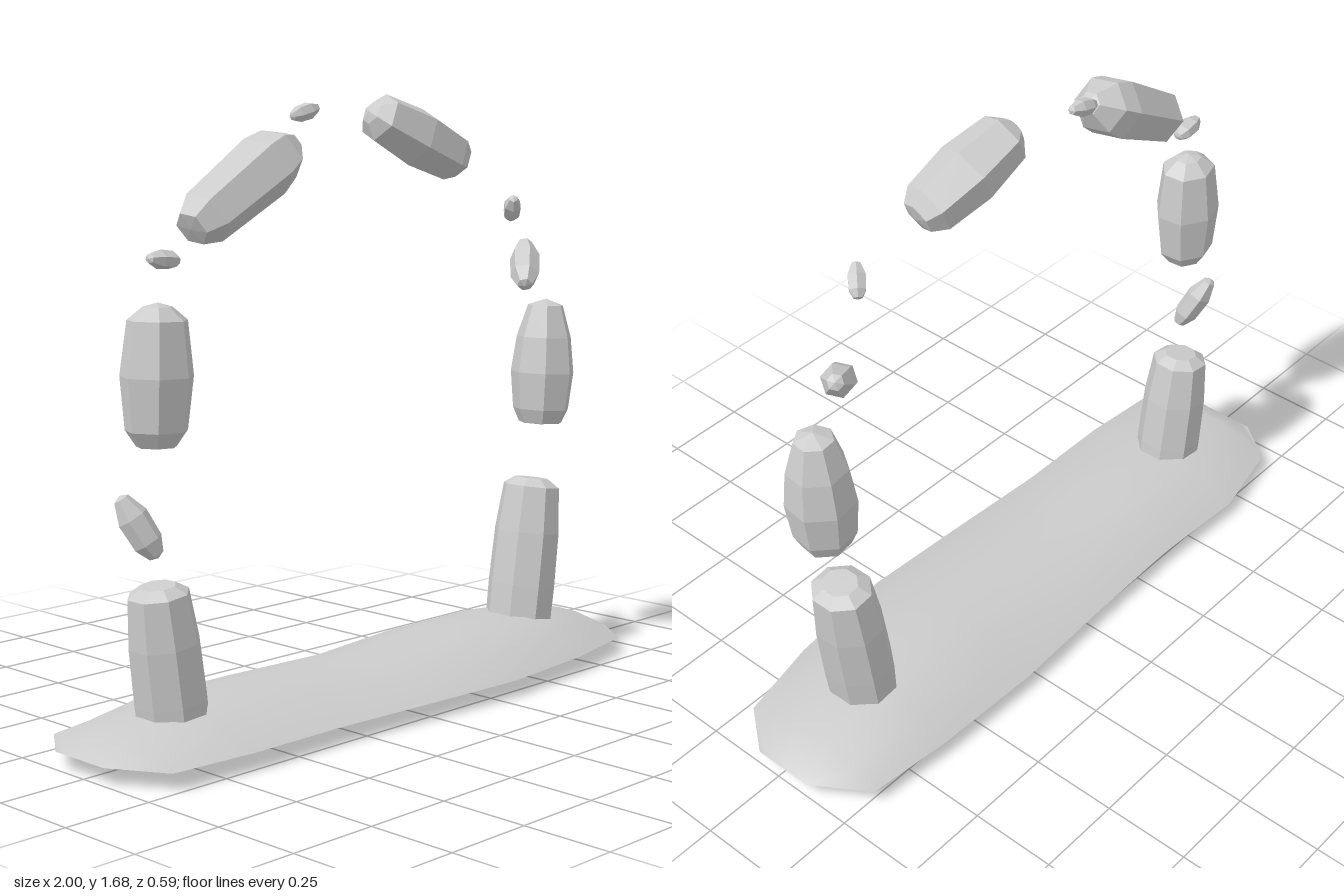
import * as THREE from 'three';

const stone = new THREE.MeshStandardMaterial({ color: 0xcccccc, flatShading: true, side: THREE.DoubleSide });
const earth = new THREE.MeshStandardMaterial({ color: 0xcccccc, side: THREE.DoubleSide });

// Profiles run from the start of a stone to its end: [position along axis, relative radius]
const PILLAR = [[0, 0.98], [0.3, 1], [0.65, 0.97], [0.95, 0.84], [1, 0.5], [1, 0]];
const BLOCK = [[0, 0], [0.02, 0.55], [0.13, 0.85], [0.5, 1], [0.88, 0.82], [0.97, 0.4], [1, 0]];
const TAPER = [[0, 0], [0.02, 0.68], [0.13, 0.88], [0.42, 1], [0.7, 0.86], [0.95, 0.55], [1, 0]];
const WEDGE = [[0, 0], [0.01, 0.55], [0.13, 0.85], [0.7, 1], [0.84, 0.86], [0.97, 0.35], [1, 0]];
const PEBBLE = [[0, 0], [0.04, 0.5], [0.25, 0.95], [0.65, 1], [0.95, 0.5], [1, 0]];

// Faceted stone between points a and b; w = half width across, d = half depth
function makeStone(name, a, b, w, d, profile, sides, turn) {
  const start = new THREE.Vector3(...a);
  const axis = new THREE.Vector3(...b).sub(start);
  const length = axis.length();
  const points = profile.map(([t, r]) => new THREE.Vector2(r, t * length));
  const lathe = new THREE.LatheGeometry(points, sides);
  lathe.rotateY(turn);
  lathe.scale(w, 1, d);
  const geometry = lathe.toNonIndexed();
  geometry.computeVertexNormals();
  const mesh = new THREE.Mesh(geometry, stone);
  mesh.name = name;
  mesh.quaternion.setFromUnitVectors(new THREE.Vector3(0, 1, 0), axis.normalize());
  mesh.position.copy(start);
  return mesh;
}

// Open shell of low ground, lofted across stations along x
function makeMound() {
  // x, back z, front z, back height, front height
  const stations = [
    [-1, -0.11, 0.08, 0, 0], [-0.91, -0.235, 0.235, 0.05, 0.045],
    [-0.66, -0.29, 0.255, 0.077, 0.065], [-0.35, -0.275, 0.255, 0.085, 0.06],
    [0, -0.285, 0.275, 0.068, 0.066], [0.31, -0.3, 0.29, 0.09, 0.088],
    [0.65, -0.29, 0.255, 0.092, 0.09], [0.9, -0.265, 0.2, 0.055, 0.055],
    [1, -0.11, 0.07, 0, 0],
  ];
  const rows = [[0, 0], [0.17, 0.68], [0.36, 1], [0.5, 1.03], [0.64, 1], [0.83, 0.68], [1, 0]];
  const positions = [];
  const index = [];
  stations.forEach(([x, back, front, hBack, hFront], i) => {
    rows.forEach(([t, h], j) => {
      const height = THREE.MathUtils.lerp(hBack, hFront, t) * h;
      positions.push(x, 0.05 + height, THREE.MathUtils.lerp(back, front, t));
      if (i && j) {
        const p = i * rows.length + j;
        const q = p - rows.length;
        index.push(q - 1, q, p - 1, q, p, p - 1);
      }
    });
  });
  const geometry = new THREE.BufferGeometry();
  geometry.setAttribute('position', new THREE.Float32BufferAttribute(positions, 3));
  geometry.setIndex(index);
  geometry.computeVertexNormals();
  const mesh = new THREE.Mesh(geometry, earth);
  mesh.name = 'groundMound';
  return mesh;
}

export function createModel() {
  const model = new THREE.Group();
  model.name = 'floatingStoneArch';
  model.add(makeMound());

  const e = Math.PI / 8;
  const stones = [
    // Standing pillars, open underneath
    ['rightPillar', [-0.688, 0.015, -0.01], [-0.745, 0.45, -0.01], 0.098, 0.098, PILLAR, 8, e],
    ['leftPillar', [0.67, 0.085, -0.01], [0.735, 0.54, -0.01], 0.096, 0.106, PILLAR, 8, e],
    // Large floating blocks
    ['rightBlock', [-0.745, 0.8, -0.005], [-0.735, 1.17, -0.005], 0.1, 0.09, BLOCK, 7, 0.3],
    ['upperRightBlock', [-0.62, 1.345, -0.01], [-0.245, 1.565, -0.02], 0.088, 0.097, WEDGE, 6, 0.2],
    ['upperLeftBlock', [0.375, 1.495, 0.015], [0.055, 1.64, -0.04], 0.085, 0.09, BLOCK, 6, 0.5],
    ['leftBlock', [0.765, 0.7, -0.005], [0.785, 1.08, -0.005], 0.097, 0.097, TAPER, 7, 0.1],
    // Small floating pebbles
    ['lowerRightPebble', [-0.77, 0.53, 0.025], [-0.84, 0.69, -0.04], 0.044, 0.036, PEBBLE, 6, 0.2],
    ['middleRightPebble', [-0.655, 1.27, -0.02], [-0.76, 1.28, -0.01], 0.025, 0.03, PEBBLE, 6, 0.4],
    ['topPebble', [-0.175, 1.625, -0.105], [-0.075, 1.65, -0.105], 0.024, 0.023, PEBBLE, 6, 0.1],
    ['upperLeftPebble', [0.55, 1.33, 0.052], [0.5, 1.395, 0.105], 0.026, 0.026, PEBBLE, 6, 0.3],
    ['middleLeftPebble', [0.62, 1.13, 0.05], [0.755, 1.25, -0.065], 0.045, 0.045, PEBBLE, 6, 0.5],
  ];
  stones.forEach((s) => model.add(makeStone(...s)));
  return model;
}
